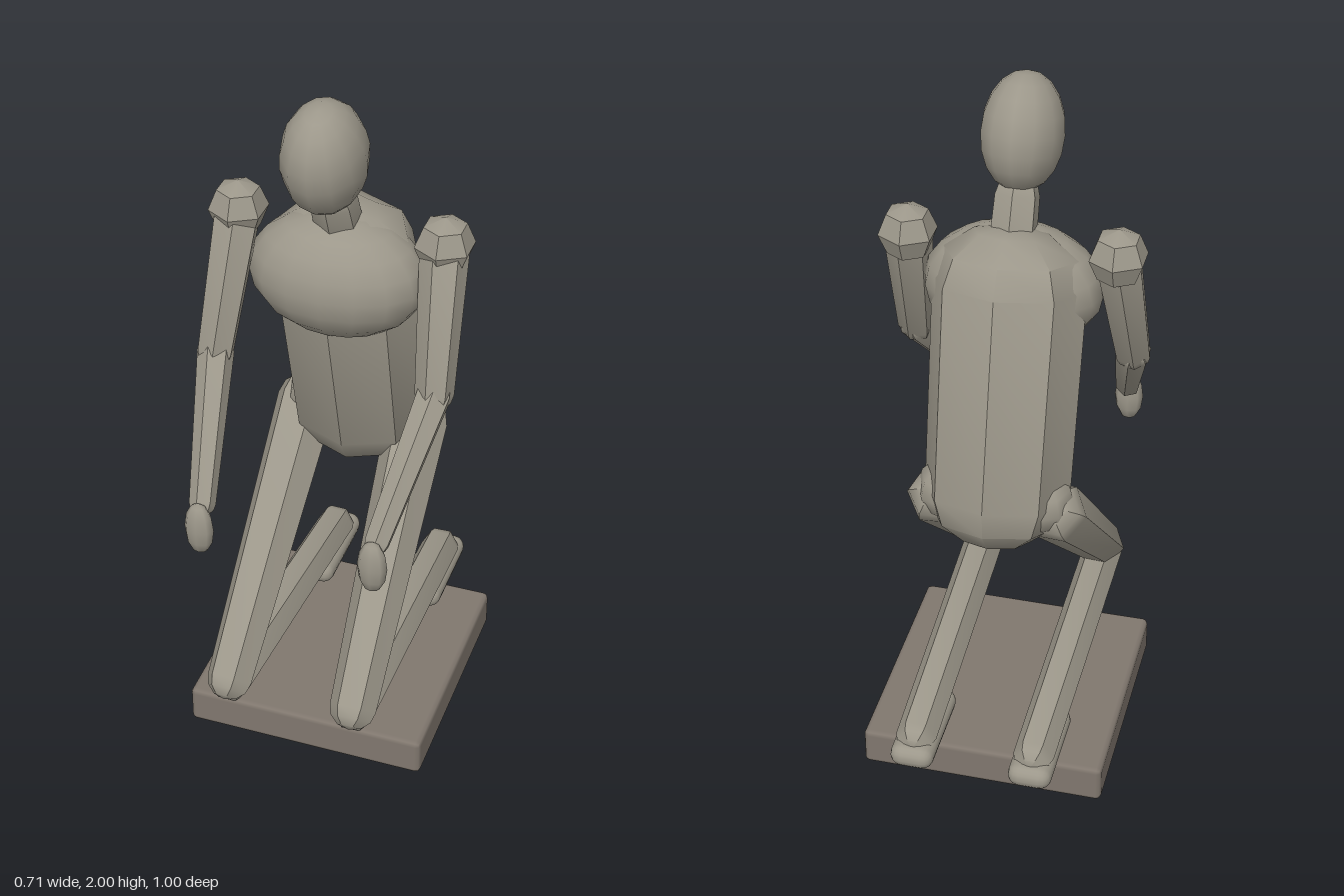
import * as THREE from 'three';
import { toCreasedNormals } from 'three/addons/utils/BufferGeometryUtils.js';
import { RoundedBoxGeometry } from 'three/addons/geometries/RoundedBoxGeometry.js';

const clay = new THREE.MeshStandardMaterial({ color: 0x9c978a });
clay.name = 'clay grey';
const stone = new THREE.MeshStandardMaterial({ color: 0x80776e });
stone.name = 'stone brown';

export function createModel() {
  const model = new THREE.Group();
  model.name = 'kneelingFigure';

  const add = (name, geometry, position, material = clay) => {
    const mesh = new THREE.Mesh(geometry, material);
    mesh.name = name;
    mesh.position.set(...position);
    model.add(mesh);
    return mesh;
  };

  // Faceted, tapered capsule between two joints (from: radius r1, to: radius r2)
  const limb = (name, from, to, r1, r2, sides = 6, turn = Math.PI / 6, widen = 1) => {
    const a = new THREE.Vector3(...from);
    const axis = new THREE.Vector3(...to).sub(a);
    const length = axis.length();
    const profile = [];
    for (let i = 0; i <= 3; i++) {
      const t = (i / 3) * Math.PI / 2;
      profile.push(new THREE.Vector2(r1 * Math.sin(t), -r1 * 0.9 * Math.cos(t)));
    }
    for (let i = 0; i <= 3; i++) {
      const t = (i / 3) * Math.PI / 2;
      profile.push(new THREE.Vector2(r2 * Math.cos(t), length + r2 * 0.9 * Math.sin(t)));
    }
    profile[0].x = profile[7].x = 0;
    const geometry = new THREE.LatheGeometry(profile, sides, turn);
    geometry.scale(widen, 1, 1);
    const mesh = add(name, toCreasedNormals(geometry, 0.65), from);
    mesh.quaternion.setFromUnitVectors(new THREE.Vector3(0, 1, 0), axis.normalize());
    return mesh;
  };

  const ball = (name, position, radii, across = 12, down = 8) =>
    add(name, new THREE.SphereGeometry(1, across, down).scale(...radii), position);

  // Plinth
  add('plinth', new RoundedBoxGeometry(0.7, 0.115, 0.7, 1, 0.015), [0, 0.0575, -0.01], stone);

  // Torso, chest, neck and head
  limb('torso', [0, 0.893, -0.16], [0, 1.476, -0.019], 0.172, 0.178, 8, 0, 1.18);
  ball('chest', [0, 1.445, 0.03], [0.245, 0.175, 0.165], 16, 10);
  limb('neck', [0, 1.55, 0.01], [0, 1.69, 0.07], 0.066, 0.062, 6, 0);
  ball('head', [0, 1.845, 0.131], [0.112, 0.16, 0.138], 12, 10).rotation.x = 0.3;

  for (const [side, s] of [['left', 1], ['right', -1]]) {
    // Arm
    const shoulder = [0.284 * s, 1.575, 0.013];
    const elbow = [0.307 * s, 1.2, 0.15];
    const wrist = [0.245 * s, 0.9, 0.428];
    const cap = new THREE.SphereGeometry(0.082, 6, 4).rotateY(Math.PI / 6);
    add(side + 'Shoulder', toCreasedNormals(cap, 0.65), shoulder);
    limb(side + 'UpperArm', shoulder, elbow, 0.066, 0.052);
    limb(side + 'Forearm', elbow, wrist, 0.05, 0.036);
    ball(side + 'Hand', [0.243 * s, 0.843, 0.462], [0.042, 0.083, 0.028], 8, 6);

    // Leg
    const hip = [0.165 * s, 0.86, -0.165];
    const knee = [0.183 * s, 0.295, 0.437];
    const ankle = [0.17 * s, 0.198, -0.425];
    ball(side + 'Hip', [0.125 * s, 0.895, -0.17], [0.095, 0.095, 0.1], 8, 6);
    limb(side + 'Thigh', hip, knee, 0.088, 0.066);
    limb(side + 'Shin', [knee[0], 0.28, 0.43], ankle, 0.06, 0.058);
    add(side + 'Foot', new RoundedBoxGeometry(0.125, 0.07, 0.305, 2, 0.034), [0.17 * s, 0.167, -0.352]);
  }

  return model;
}
